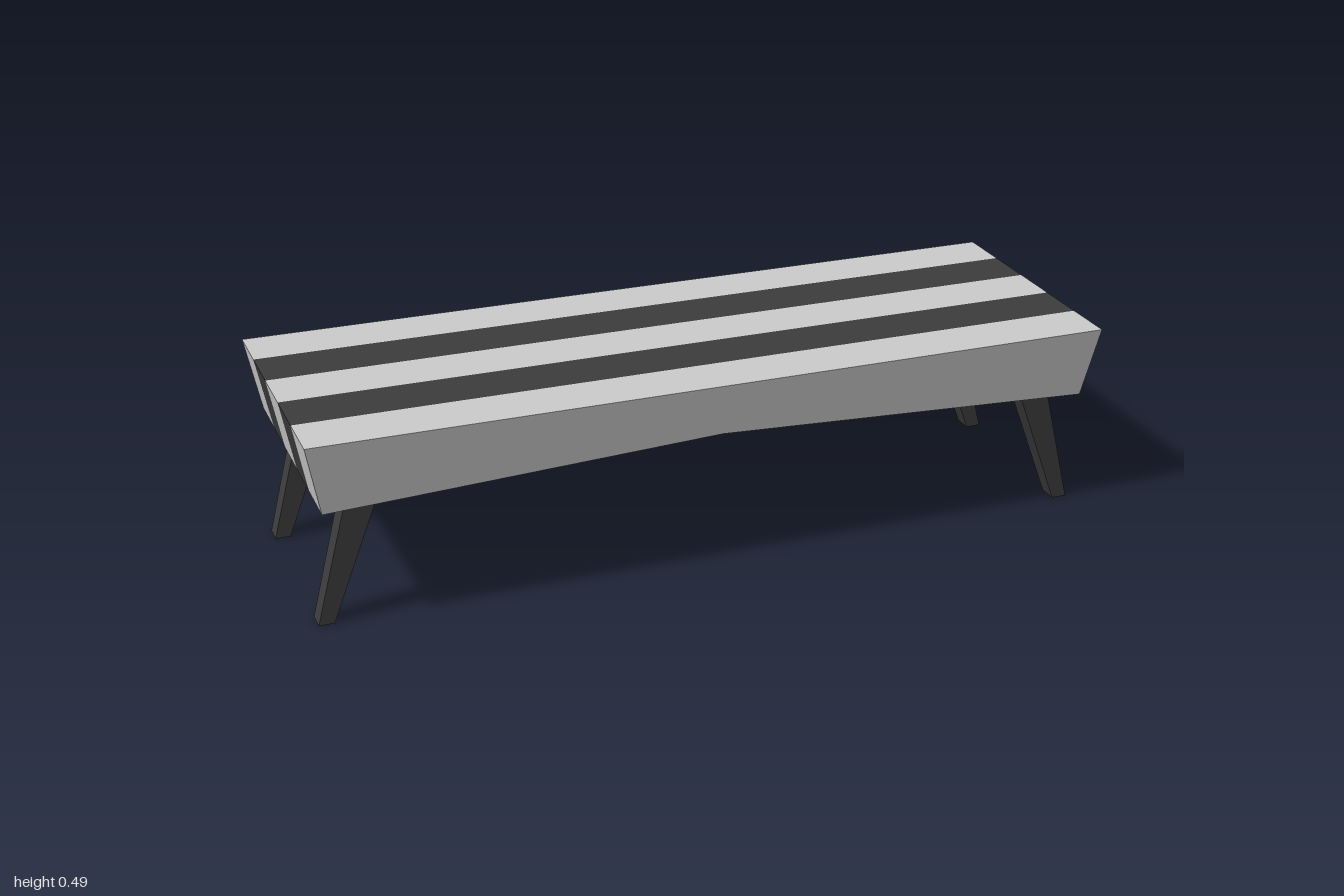
import * as THREE from 'three';

const TOP = 0.487;
// Lengthwise profile, counterclockwise seen from +z
const PROFILE = [[-0.965, 0.309], [0, 0.357], [0.965, 0.309], [1, TOP], [-1, TOP]];

// Point of the profile at a fraction f of the depth; the sides taper downwards
const at = ([x, y], f) => [x, y, f * (0.345 - (TOP - y) * 0.141)];

// One lengthwise band of the seat, closed only on the outer long sides
function bandGeometry(f0, f1) {
  const pos = [];
  const tri = (...points) => points.forEach((p) => pos.push(...p));
  PROFILE.forEach((a, i) => {
    const b = PROFILE[(i + 1) % PROFILE.length];
    tri(at(a, f1), at(a, f0), at(b, f0));
    tri(at(a, f1), at(b, f0), at(b, f1));
  });
  for (const [i, j] of [[2, 3], [3, 4], [4, 0]]) {
    if (f1 === 1) tri(at(PROFILE[1], 1), at(PROFILE[i], 1), at(PROFILE[j], 1));
    if (f0 === -1) tri(at(PROFILE[1], -1), at(PROFILE[j], -1), at(PROFILE[i], -1));
  }
  const g = new THREE.BufferGeometry();
  g.setAttribute('position', new THREE.Float32BufferAttribute(pos, 3));
  g.computeVertexNormals();
  return g;
}

// Tapered, splayed leg: a box whose top and foot are resized and shifted
function legGeometry(side, z) {
  const g = new THREE.BoxGeometry(1, 1, 1);
  const p = g.attributes.position;
  for (let i = 0; i < p.count; i++) {
    const top = p.getY(i) > 0;
    const x = top ? side * 0.853 + p.getX(i) * 0.08 : side * 0.96 + p.getX(i) * 0.038;
    p.setXYZ(i, x, top ? 0.34 : 0, z + p.getZ(i) * (top ? 0.058 : 0.05));
  }
  g.computeVertexNormals();
  return g;
}

export function createModel() {
  const model = new THREE.Group();
  model.name = 'bench';
  const light = new THREE.MeshStandardMaterial({ name: 'light grey', color: 0xcccccc });
  const dark = new THREE.MeshStandardMaterial({ name: 'dark grey', color: 0x3c3c3c });
  const add = (name, geometry, material) => {
    const mesh = new THREE.Mesh(geometry, material);
    mesh.name = name;
    model.add(mesh);
  };

  // Seat in five alternating bands
  for (let i = 0; i < 5; i++) {
    const f0 = (2 * i - 5) / 5, f1 = (2 * i - 3) / 5;
    add(i % 2 ? 'darkStripe' : 'lightStripe', bandGeometry(f0, f1), i % 2 ? dark : light);
  }

  // Four legs
  for (const [sideName, side] of [['Left', 1], ['Right', -1]]) {
    add('front' + sideName + 'Leg', legGeometry(side, 0.24), dark);
    add('back' + sideName + 'Leg', legGeometry(side, -0.237), dark);
  }
  return model;
}
